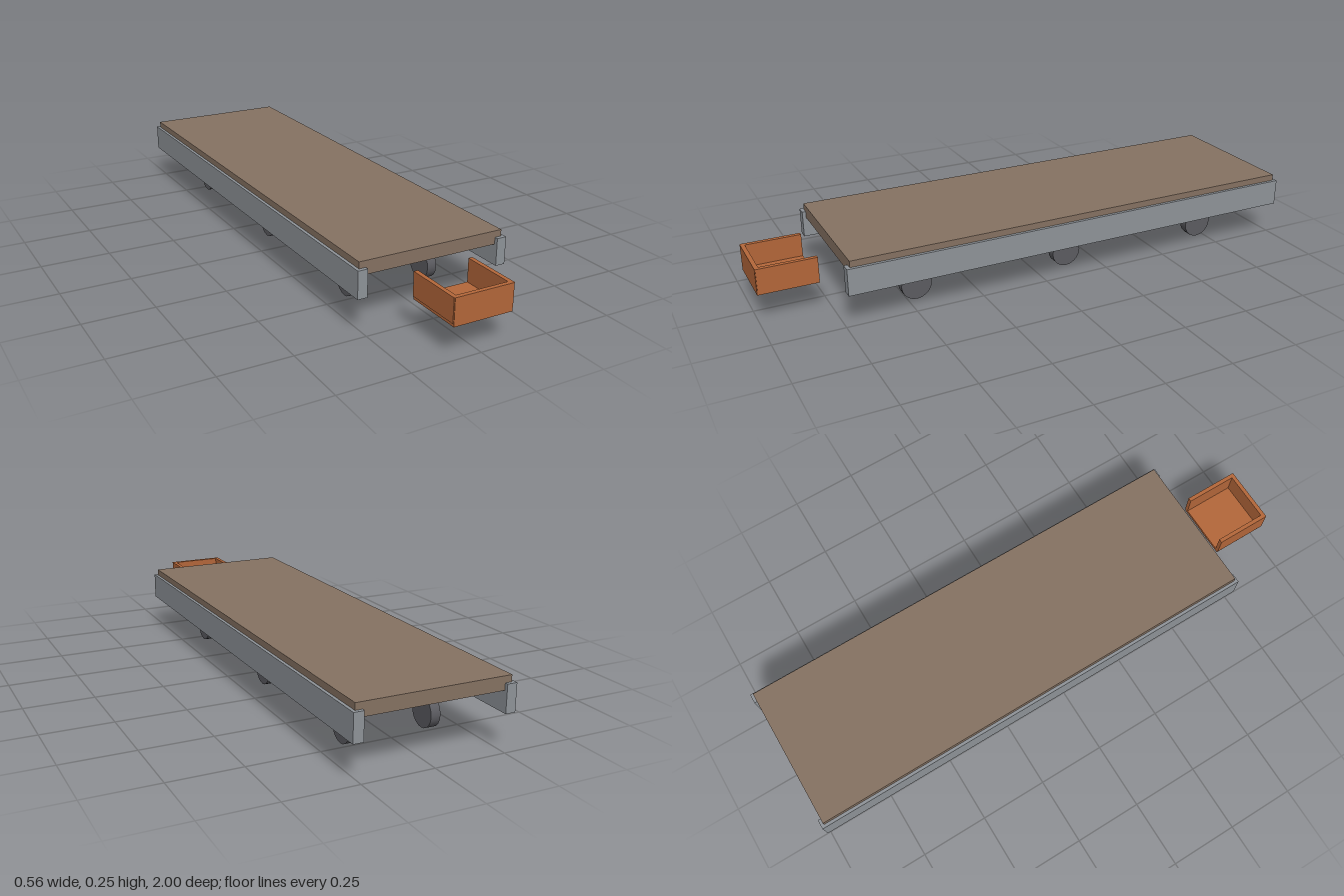
import * as THREE from 'three';

const mat = (name, color) => {
  const m = new THREE.MeshStandardMaterial({ color });
  m.name = name;
  return m;
};

export function createModel() {
  const steel = mat('steel grey', 0x8f9499);
  const wood = mat('deck brown', 0x867262);
  const rubber = mat('wheel dark grey', 0x5c5c61);
  const rust = mat('tray orange', 0xb4673a);

  const model = new THREE.Group();
  model.name = 'flatbedCart';

  // Box given by its lower and upper limits on each axis
  const box = (parent, name, material, [x0, x1], [y0, y1], [z0, z1]) => {
    const mesh = new THREE.Mesh(new THREE.BoxGeometry(x1 - x0, y1 - y0, z1 - z0), material);
    mesh.position.set((x0 + x1) / 2, (y0 + y1) / 2, (z0 + z1) / 2);
    mesh.name = name;
    parent.add(mesh);
  };

  // Deck resting in the side rails
  box(model, 'deck', wood, [-0.268, 0.268], [0.2, 0.247], [-0.988, 0.73]);
  box(model, 'leftRail', steel, [0.244, 0.279], [0.128, 0.224], [-1, 0.743]);
  box(model, 'rightRail', steel, [-0.279, -0.244], [0.128, 0.224], [-1, 0.743]);

  // Cross members with a pair of wheels under each
  const wheelGeometry = new THREE.CylinderGeometry(0.056, 0.056, 0.035, 20).rotateZ(Math.PI / 2);
  [0.467, -0.126, -0.719].forEach((z, i) => {
    box(model, `crossMember${i + 1}`, steel, [-0.244, 0.244], [0.128, 0.175], [z - 0.04, z + 0.04]);
    for (const side of [1, -1]) {
      const wheel = new THREE.Mesh(wheelGeometry, rubber);
      wheel.position.set(side * 0.148, 0.056, z);
      wheel.name = `${side > 0 ? 'left' : 'right'}Wheel${i + 1}`;
      model.add(wheel);
    }
  });

  // Front tray, open at the back and top
  const tray = new THREE.Group();
  tray.name = 'frontTray';
  model.add(tray);
  box(tray, 'trayFloor', rust, [-0.107, 0.107], [0.111, 0.124], [0.79, 1]);
  box(tray, 'trayFront', rust, [-0.107, 0.107], [0.122, 0.206], [0.985, 1]);
  box(tray, 'trayLeftWall', rust, [0.095, 0.11], [0.122, 0.206], [0.79, 0.998]);
  box(tray, 'trayRightWall', rust, [-0.11, -0.095], [0.122, 0.206], [0.79, 0.998]);

  return model;
}
